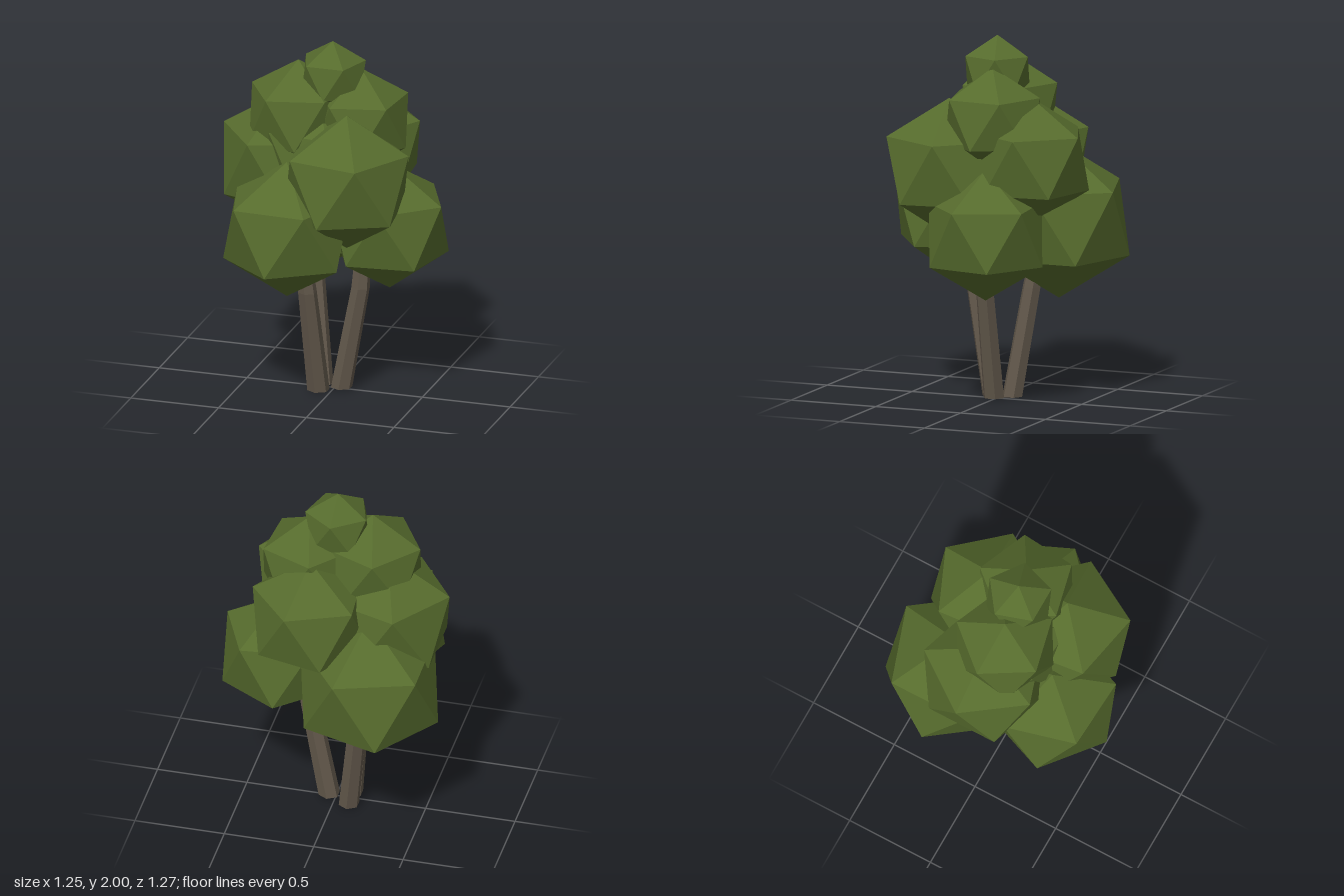
import * as THREE from 'three';

const leafMat = new THREE.MeshStandardMaterial({ color: 0x566b2d, flatShading: true });
leafMat.name = 'olive green leaves';
const barkMat = new THREE.MeshStandardMaterial({ color: 0x62584b, flatShading: true });
barkMat.name = 'grey brown bark';

// Leaf clump: icosahedron standing on a corner; yaw (degrees, from +x towards +z) aims one upper corner
function clump(name, x, y, z, radius, yaw) {
  const geo = new THREE.IcosahedronGeometry(radius, 0);
  geo.rotateX(-Math.atan((1 + Math.sqrt(5)) / 2));
  geo.rotateY(THREE.MathUtils.degToRad(90 - yaw));
  const mesh = new THREE.Mesh(geo, leafMat);
  mesh.name = name;
  mesh.position.set(x, y, z);
  return mesh;
}

// Stem: six-sided column whose three rings follow base, bend and tip: [x, y, z, radius]
function stem(name, rings) {
  const geo = new THREE.CylinderGeometry(1, 1, 2, 6, 2);
  const pos = geo.attributes.position;
  for (let i = 0; i < pos.count; i++) {
    const [x, y, z, r] = rings[Math.round(pos.getY(i)) + 1];
    pos.setXYZ(i, x + pos.getX(i) * r, y, z + pos.getZ(i) * r);
  }
  geo.computeVertexNormals();
  const mesh = new THREE.Mesh(geo, barkMat);
  mesh.name = name;
  return mesh;
}

export function createModel() {
  const tree = new THREE.Group();
  tree.name = 'tree';

  // Three stems leaning apart
  const trunk = new THREE.Group();
  trunk.name = 'trunk';
  trunk.add(
    stem('frontStem', [[-0.075, 0, 0.055, 0.062], [-0.1, 0.6, 0.17, 0.052], [-0.12, 0.8, 0.18, 0.045]]),
    stem('leftStem', [[0.04, 0.01, 0, 0.06], [0.15, 0.6, 0.005, 0.052], [0.16, 0.8, 0, 0.042]]),
    stem('backStem', [[-0.085, 0, -0.055, 0.058], [-0.155, 0.6, -0.14, 0.052], [-0.17, 0.74, -0.16, 0.045]])
  );

  // Crown of overlapping clumps, from the bottom up
  const crown = new THREE.Group();
  crown.name = 'crown';
  [
    ['lowerFrontClump', -0.175, 1.0, 0.3, 0.387, 57],
    ['lowerLeftClump', 0.295, 0.95, -0.06, 0.36, 12],
    ['lowerBackClump', -0.25, 0.96, -0.26, 0.43, -72.6],
    ['middleRightClump', -0.3, 1.28, -0.04, 0.385, 180],
    ['middleFrontClump', 0.14, 1.28, 0.22, 0.382, 65],
    ['middleBackClump', 0.085, 1.335, -0.235, 0.355, -77],
    ['innerClump', -0.1, 1.37, 0.02, 0.33, 60],
    ['upperRightClump', -0.2, 1.575, 0.02, 0.305, 185],
    ['upperLeftClump', 0.14, 1.555, -0.035, 0.293, -31],
    ['topClump', -0.01, 1.8, 0, 0.2, -90]
  ].forEach((c) => crown.add(clump(...c)));

  tree.add(trunk, crown);
  return tree;
}
